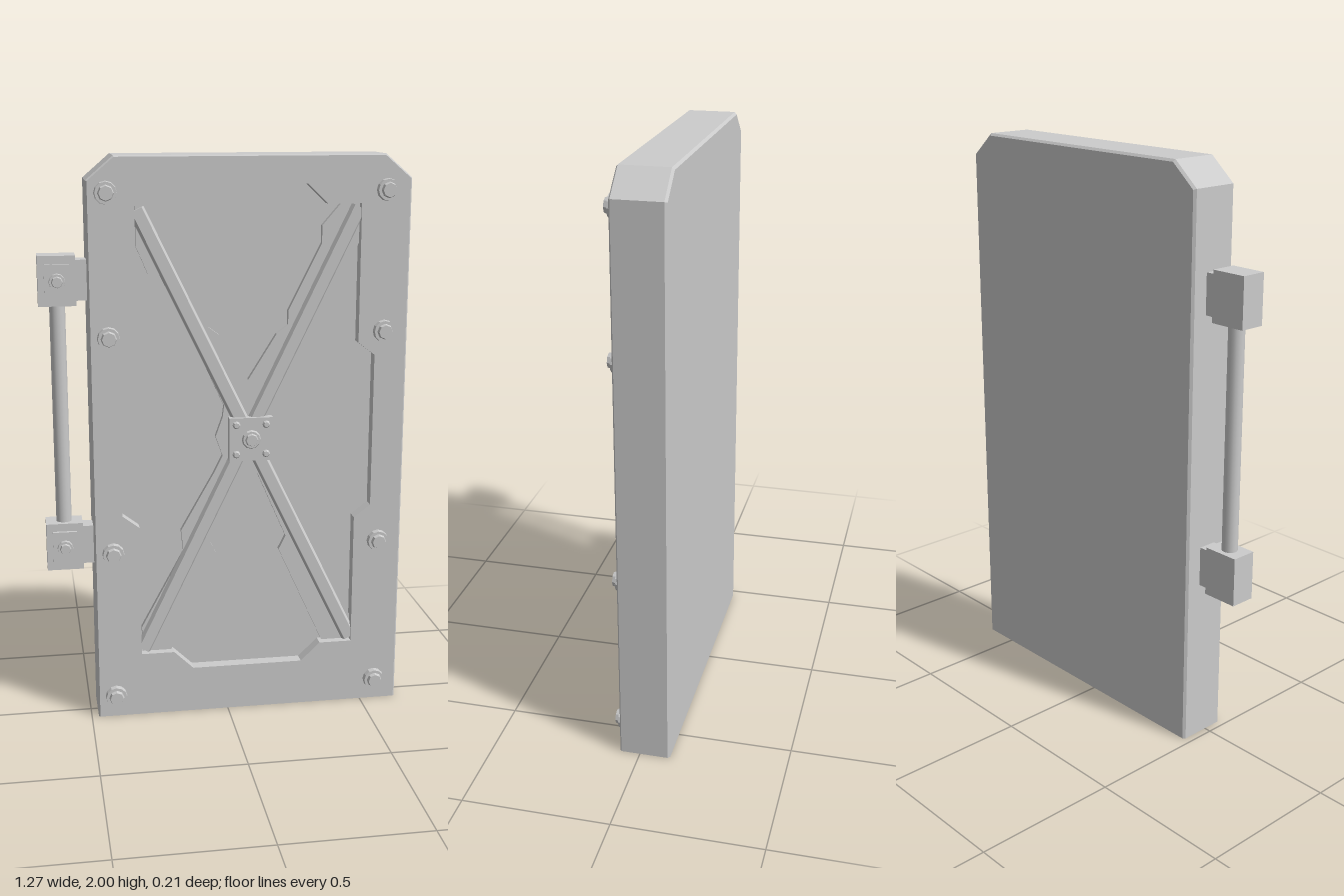
import * as THREE from 'three';

const CX = 0.08; // centre line of the shield body
const FRONT = 0.07, FLOOR = 0.025, BACK = -0.105;
const mat = new THREE.MeshStandardMaterial({ color: 0xcccccc });
const flat = new THREE.MeshStandardMaterial({ color: 0xcccccc, flatShading: true });

function add(parent, name, geo, x = 0, y = 0, z = 0, material = flat) {
  const mesh = new THREE.Mesh(geo, material);
  mesh.name = name;
  mesh.position.set(x, y, z);
  parent.add(mesh);
  return mesh;
}

const toShape = pts => new THREE.Shape(pts.map(p => new THREE.Vector2(p[0], p[1])));
const box = (w, h, d) => new THREE.BoxGeometry(w, h, d);

// Cylinder whose axis points to the front, standing on z = 0
function stud(rTop, rBottom, depth, sides) {
  return new THREE.CylinderGeometry(rTop, rBottom, depth, sides).rotateX(Math.PI / 2).translate(0, 0, depth / 2);
}

// Walls joining outlines at successive depths: [{ pts, z }, ...]
function walls(rings) {
  const v = [];
  for (let r = 0; r + 1 < rings.length; r++) {
    const f = rings[r], k = rings[r + 1], n = f.pts.length;
    for (let i = 0; i < n; i++) {
      const j = (i + 1) % n;
      const a = [...f.pts[i], f.z], b = [...f.pts[j], f.z];
      const c = [...k.pts[j], k.z], d = [...k.pts[i], k.z];
      v.push(...a, ...d, ...c, ...a, ...c, ...b);
    }
  }
  const g = new THREE.BufferGeometry();
  g.setAttribute('position', new THREE.Float32BufferAttribute(v, 3));
  g.computeVertexNormals();
  return g;
}

// Body outline, flat at the foot and with chamfered top corners
function bodyOutline(inset) {
  const w = 0.555 - inset, t = 2 - inset, c = 0.462 - inset * 0.4, s = 1.92 - inset * 0.4;
  return [[-w, 0], [w, 0], [w, s], [c, t], [-c, t], [-w, s]].map(([x, y]) => [x + CX, y]);
}

// Recess outline, mirrored left to right and top to bottom about its middle
function recessOutline() {
  const q = [[0.447, 0.275], [0.388, 0.32], [0.388, 0.8], [0.27, 0.8], [0.2, 0.867]];
  const m = [...q].reverse();
  return [
    ...q, ...m.map(([x, y]) => [-x, y]),
    ...q.map(([x, y]) => [-x, -y]), ...m.map(([x, y]) => [x, -y]),
  ].map(([x, y]) => [x + 0.073, y + 1.035]);
}

function buildBody(parent) {
  const body = new THREE.Group();
  body.name = 'shieldBody';
  parent.add(body);
  const recess = recessOutline();
  add(body, 'outerSides', walls([
    { pts: bodyOutline(0.005), z: FRONT }, { pts: bodyOutline(0), z: FRONT - 0.005 },
    { pts: bodyOutline(0), z: BACK + 0.008 }, { pts: bodyOutline(0.008), z: BACK },
  ]));
  const face = toShape(bodyOutline(0.005));
  face.holes.push(toShape(recess));
  add(body, 'frontFrame', new THREE.ShapeGeometry(face), 0, 0, FRONT);
  add(body, 'recessSides', walls([{ pts: recess, z: FLOOR }, { pts: recess, z: FRONT }]));
  add(body, 'recessFloor', new THREE.ShapeGeometry(toShape(recess)), 0, 0, FLOOR);
  const back = new THREE.ShapeGeometry(toShape(bodyOutline(0.008).map(([x, y]) => [-x, y])));
  add(body, 'backFace', back.rotateY(Math.PI), 0, 0, BACK);
}

function buildBrace(parent) {
  const brace = new THREE.Group();
  brace.name = 'crossBrace';
  brace.position.x = 0.075;
  parent.add(brace);

  // Stepped backing plate: right half, from the top notch to the bottom notch
  const half = [
    [0, 1.23], [0.1, 1.39], [0.14, 1.42], [0.14, 1.47], [0.255, 1.70], [0.255, 1.76], [0.32, 1.835],
    [0.385, 1.835], [0.385, 1.7], [0.345, 1.605], [0.295, 1.6], [0.085, 1.14], [0.09, 1.1], [0.115, 1.03],
    [0.09, 0.96], [0.12, 0.9], [0.24, 0.69], [0.232, 0.61], [0.385, 0.33], [0.385, 0.237],
    [0.28, 0.237], [0.115, 0.6], [0.14, 0.65], [0.035, 0.89],
  ];
  const mirrored = half.slice(1).reverse().map(([x, y]) => [-x, y]);
  const plate = new THREE.ExtrudeGeometry(toShape([...half, ...mirrored]), { depth: 0.022, bevelEnabled: false });
  add(brace, 'braceBacking', plate, 0, 0, FLOOR - 0.002);

  // Two crossing ridges with sloped flanks
  const profile = toShape([[-0.028, 0], [0.028, 0], [0.019, 0.019], [-0.019, 0.019]]);
  const length = 1.75;
  for (const side of [-1, 1]) {
    const ridge = new THREE.ExtrudeGeometry(profile, { depth: length, bevelEnabled: false });
    ridge.translate(0, 0, -length / 2).rotateX(Math.PI / 2).rotateY(Math.PI);
    ridge.computeBoundingBox();
    if (ridge.boundingBox.max.z < 0.01) ridge.rotateY(Math.PI);
    add(brace, 'braceRidge', ridge, 0, 1.035, 0.044).rotation.z = side * Math.atan2(0.388, 0.8);
  }
}

function buildCentrePlate(parent) {
  const hub = new THREE.Group();
  hub.name = 'centrePlate';
  hub.position.set(0.082, 1.023, 0.045);
  parent.add(hub);
  add(hub, 'hubPlate', box(0.155, 0.155, 0.03), 0, 0, 0.015);
  add(hub, 'hubWasher', stud(0.03, 0.034, 0.008, 12), 0, 0, 0.03);
  add(hub, 'hubBolt', stud(0.02, 0.024, 0.011, 8), 0, 0, 0.036);
  for (const x of [-0.053, 0.053])
    for (const y of [-0.053, 0.053])
      add(hub, 'hubRivet', stud(0.009, 0.014, 0.009, 8), x, y, 0.03);
}

// Bolt with a round washer and a faceted head
function buildBolt(parent, name, x, y, z, s = 1) {
  const bolt = new THREE.Group();
  bolt.name = name;
  bolt.position.set(x, y, z);
  bolt.scale.setScalar(s);
  parent.add(bolt);
  add(bolt, 'washer', stud(0.037, 0.039, 0.02, 12));
  add(bolt, 'head', stud(0.024, 0.028, 0.014, 8), 0, 0, 0.019);
}

function buildHandle(parent) {
  const handle = new THREE.Group();
  handle.name = 'sideHandle';
  parent.add(handle);
  const x = -0.576;
  for (const y of [1.587, 0.648]) {
    add(handle, 'handleBlock', box(0.128, 0.17, 0.09), x, y, -0.01);
    add(handle, 'handleMount', box(0.06, 0.138, 0.066), -0.49, y, -0.012);
    add(handle, 'handleCap', box(0.085, 0.115, 0.014), x, y, 0.04);
    buildBolt(handle, 'handleBolt', x, y, 0.045, 0.72);
  }
  add(handle, 'handleRod', new THREE.CylinderGeometry(0.027, 0.027, 0.8, 16), x, 1.117, -0.01, mat);
}

export function createModel() {
  const model = new THREE.Group();
  model.name = 'shield';
  buildBody(model);
  buildBrace(model);
  buildCentrePlate(model);
  for (const x of [-0.41, 0.55])
    for (const y of [1.88, 1.395, 0.625, 0.08])
      buildBolt(model, 'frameBolt', x, y, FRONT);
  buildHandle(model);
  return model;
}
